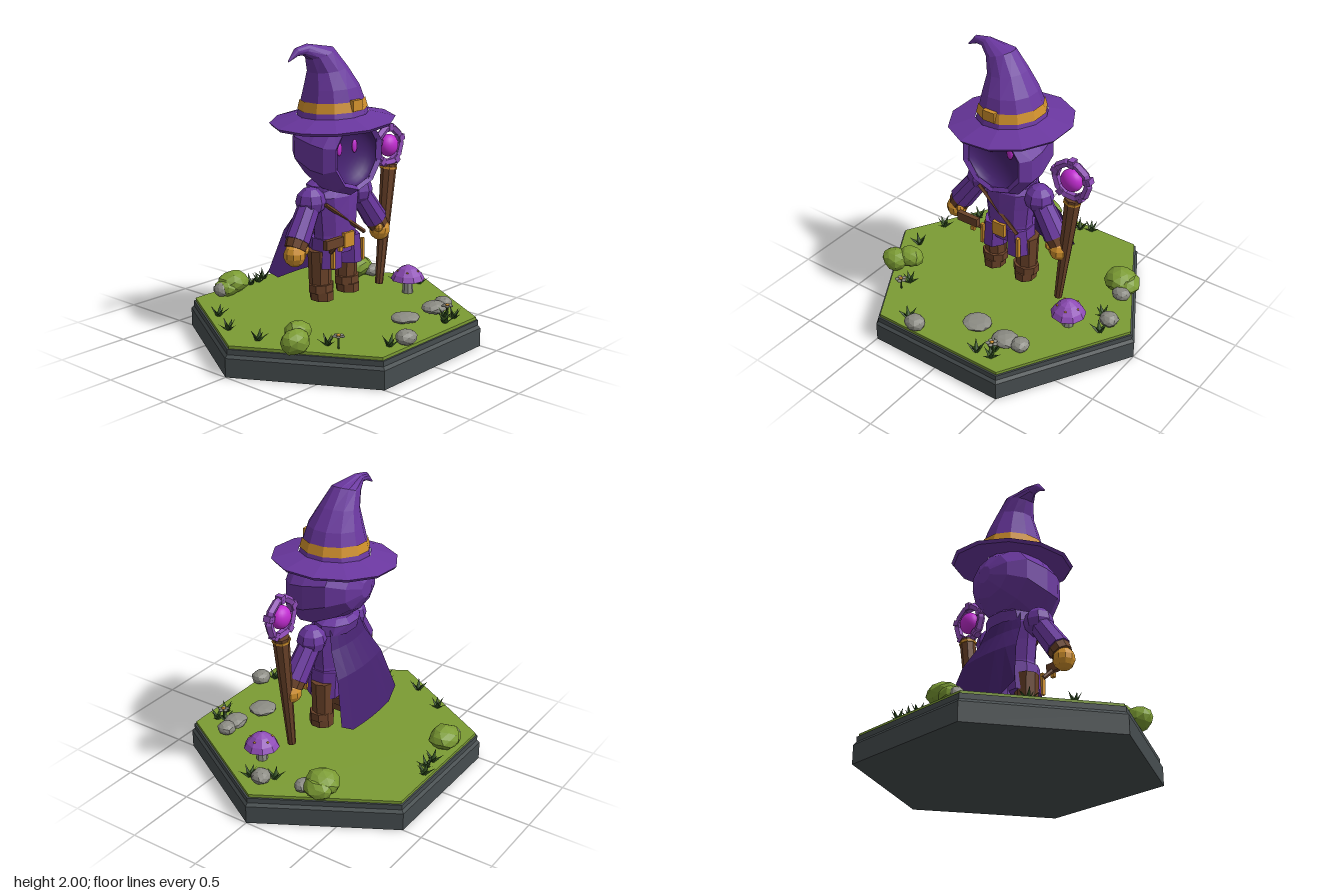
import * as THREE from 'three';

const V = (x, y, z) => new THREE.Vector3(x, y, z);
const mat = (name, color, side = THREE.FrontSide) => {
  const m = new THREE.MeshStandardMaterial({ color, side });
  m.name = name;
  return m;
};

// Faceted copy of a geometry
function flat(g) {
  const f = g.index ? g.toNonIndexed() : g;
  f.computeVertexNormals();
  return f;
}

// Skin over rings {c, u, v}; rings travel along u x v
function loft(rings, n, { phase = 0, start = false, end = false } = {}) {
  const pos = [], idx = [];
  rings.forEach(({ c, u, v }) => {
    for (let i = 0; i < n; i++) {
      const t = ((i + phase) / n) * Math.PI * 2;
      const p = c.clone().addScaledVector(u, Math.cos(t)).addScaledVector(v, Math.sin(t));
      pos.push(p.x, p.y, p.z);
    }
  });
  for (let k = 0; k < rings.length - 1; k++) for (let i = 0; i < n; i++) {
    const a = k * n + i, a1 = k * n + ((i + 1) % n);
    idx.push(a, a1, a1 + n, a, a1 + n, a + n);
  }
  const last = (rings.length - 1) * n;
  for (let i = 1; i < n - 1; i++) {
    if (start) idx.push(0, i + 1, i);
    if (end) idx.push(last, last + i, last + i + 1);
  }
  const g = new THREE.BufferGeometry();
  g.setAttribute('position', new THREE.Float32BufferAttribute(pos, 3));
  g.setIndex(idx);
  return flat(g);
}
// Upright ring: tilt about z
const upRing = (x, y, z, rx, rz = rx, a = 0) =>
  ({ c: V(x, y, z), u: V(Math.cos(a) * rx, Math.sin(a) * rx, 0), v: V(0, 0, -rz) });
// Ring facing the front
const frontRing = (y, z, rx, ry) => ({ c: V(0, y, z), u: V(rx, 0, 0), v: V(0, ry, 0) });

// Tapered round bar from p to q
function rod(p, q, r1, r2, n = 8) {
  const d = q.clone().sub(p);
  const g = new THREE.CylinderGeometry(r2, r1, d.length(), n);
  g.applyQuaternion(new THREE.Quaternion().setFromUnitVectors(V(0, 1, 0), d.clone().normalize()));
  g.translate((p.x + q.x) / 2, (p.y + q.y) / 2, (p.z + q.z) / 2);
  return flat(g);
}

// Lumpy faceted ball, jittered by a hash of each corner's position
function lump(x, y, z, rx, ry, rz, amount) {
  const g = new THREE.IcosahedronGeometry(1, 1), p = g.attributes.position;
  for (let i = 0; i < p.count; i++) {
    const [a, b, c] = [p.getX(i), p.getY(i), p.getZ(i)].map(k => Math.round(k * 100));
    const h = Math.sin(a * 12.99 + b * 78.23 + c * 37.7 + x * 50 + z * 90) * 43.7;
    const s = 1 - amount * (h - Math.floor(h));
    p.setXYZ(i, p.getX(i) * s, p.getY(i) * s, p.getZ(i) * s);
  }
  g.scale(rx, ry, rz);
  g.translate(x, y, z);
  return flat(g);
}

const box = (x, y, z, w, h, d) => new THREE.BoxGeometry(w, h, d).translate(x, y, z);
const ball = (x, y, z, rx, ry, rz, n = 16) => new THREE.SphereGeometry(1, n, n * 0.75).scale(rx, ry, rz).translate(x, y, z);

export function createModel() {
  const root = new THREE.Group();
  const M = {
    robe: mat('robe purple', 0x6a379f), light: mat('light purple', 0x8e4cb6),
    dark: mat('dark purple', 0x462270, THREE.DoubleSide), glow: mat('magenta', 0xc02cd0),
    gold: mat('gold', 0xd0902c), brown: mat('brown', 0x6a4229),
    grass: mat('grass green', 0x7c9c34), leaf: mat('leaf green', 0x304f1f, THREE.DoubleSide),
    stone: mat('stone grey', 0x8c8c84), slate: mat('slate', 0x464d4f),
  };
  const add = (name, geo, m, parent = root) => {
    const mesh = new THREE.Mesh(geo, m);
    mesh.name = name;
    parent.add(mesh);
    return mesh;
  };
  const group = name => {
    const g = new THREE.Group();
    g.name = name;
    root.add(g);
    return g;
  };

  // Hexagonal stand
  const hex = (y, r) => upRing(0, y, 0, r);
  add('standBase', loft([hex(0, 1), hex(0.125, 1), hex(0.145, 0.982), hex(0.18, 0.982)], 6, { start: true, end: true }), M.slate);
  add('turf', loft([hex(0.175, 0.968), hex(0.2, 0.968)], 6, { end: true }), M.grass);

  // Pointed hat
  const hat = group('hat');
  add('brim', loft([upRing(0, 1.5, 0, 0.18, 0.18, 0.07), upRing(0, 1.472, 0, 0.395, 0.4, 0.07),
    upRing(0, 1.492, 0, 0.412, 0.415, 0.07), upRing(0, 1.54, 0, 0.235, 0.24, 0.07)], 12, { phase: 0.5 }), M.robe, hat);
  const crown = [[0, 1.53, 0, 0.235, 0.07], [0, 1.61, 0, 0.213, 0.05], [-0.01, 1.715, 0, 0.182, 0.06], [-0.04, 1.83, -0.01, 0.132, 0.15],
    [-0.1, 1.935, -0.02, 0.103, 0.33], [-0.225, 1.966, -0.03, 0.041, 1.0], [-0.3, 1.955, -0.035, 0.027, 1.8], [-0.37, 1.9, -0.04, 0.004, 2.2]];
  add('crown', loft(crown.map(([x, y, z, r, a]) => upRing(x, y, z, r, r * (r < 0.12 ? 0.9 : 1), a)), 12, { phase: 0.5, end: true }), M.robe, hat);
  add('hatBand', loft([upRing(0, 1.572, 0, 0.23, 0.23, 0.05), upRing(-0.002, 1.635, 0, 0.213, 0.213, 0.05)], 12, { phase: 0.5 }), M.gold, hat);
  add('hatBuckle', box(-0.015, 1.61, 0.215, 0.09, 0.07, 0.03), M.gold, hat);

  // Hood with a hollow dark face
  const head = group('head');
  add('hood', loft([frontRing(1.33, -0.25, 0.06, 0.06), frontRing(1.33, -0.2, 0.18, 0.15), frontRing(1.33, -0.1, 0.27, 0.23),
    frontRing(1.29, 0.06, 0.295, 0.27), frontRing(1.275, 0.16, 0.285, 0.265), frontRing(1.285, 0.23, 0.235, 0.23),
    frontRing(1.285, 0.21, 0.2, 0.205)], 10, { phase: 0.5, start: true }), M.robe, head);
  add('faceHollow', new THREE.SphereGeometry(1, 24, 8, 0, Math.PI * 2, 0, Math.PI / 2).rotateX(-Math.PI / 2)
    .scale(0.205, 0.208, 0.11).translate(0, 1.285, 0.215), M.dark, head);
  for (const s of [-1, 1]) add('eye', ball(s * 0.075, 1.32, 0.125, 0.024, 0.044, 0.012), M.glow, head);

  // Robe
  const body = group('body');
  add('tunic', loft([upRing(0, 0.62, 0.02, 0.18, 0.115), upRing(0, 0.74, 0.02, 0.165, 0.12), upRing(0, 0.88, 0.02, 0.18, 0.125),
    upRing(0, 1.0, 0.02, 0.2, 0.125), upRing(0, 1.07, 0.01, 0.13, 0.1)], 10, { phase: 0.5, start: true, end: true }), M.robe, body);
  add('collar', loft([upRing(0, 1.0, -0.02, 0.19, 0.12), upRing(0, 1.07, -0.02, 0.18, 0.14), upRing(0, 1.1, -0.02, 0.12, 0.1)], 10, { end: true }), M.robe, body);
  add('strap', rod(V(-0.19, 0.97, 0.11), V(0.15, 0.73, 0.15), 0.014, 0.014, 4), M.brown, body);
  add('beltBuckle', box(-0.003, 0.708, 0.14, 0.095, 0.1, 0.03), M.gold, body);
  add('backPouch', box(-0.08, 0.77, -0.12, 0.1, 0.09, 0.05), M.brown, body);

  // Limbs, mirrored
  for (const s of [-1, 1]) {
    add('skirtFlap', loft([upRing(s * 0.1, 0.525, 0.025, 0.088, 0.125), upRing(s * 0.09, 0.72, 0.02, 0.085, 0.125)], 8, { phase: 0.5, start: true, end: true }), M.robe, body);
    add('skirtTrim', box(s * 0.147, 0.61, 0.135, 0.022, 0.15, 0.025), M.gold, body);
    const leg = group(s > 0 ? 'leftLeg' : 'rightLeg');
    add('shin', rod(V(s * 0.13, 0.4, 0.005), V(s * 0.135, 0.64, 0.005), 0.074, 0.08), M.brown, leg);
    add('bootCuff', loft([upRing(s * 0.13, 0.355, 0.015, 0.093, 0.08), upRing(s * 0.13, 0.41, 0.015, 0.093, 0.08)], 8, { phase: 0.5, start: true, end: true }), M.brown, leg);
    add('boot', loft([upRing(s * 0.13, 0.3, 0.02, 0.075, 0.085), upRing(s * 0.13, 0.36, 0.02, 0.08, 0.085)], 8, { phase: 0.5, start: true, end: true }), M.brown, leg);
    const arm = group(s > 0 ? 'leftArm' : 'rightArm');
    add('shoulder', flat(ball(s * 0.235, 0.985, 0.02, 0.1, 0.1, 0.1, 8)), M.robe, arm);
    add('sleeve', rod(V(s * 0.24, 0.97, 0.02), V(s * 0.39, 0.755, 0.045), 0.075, 0.085, 9), M.robe, arm);
    add('cuff', rod(V(s * 0.375, 0.775, 0.045), V(s * 0.415, 0.71, 0.05), 0.08, 0.073, 9), M.brown, arm);
    add('hand', flat(ball(s * 0.425, 0.675, 0.055, 0.073, 0.078, 0.075, 10)), M.gold, arm);
    add('thumb', flat(ball(s * 0.37, 0.705, 0.09, 0.03, 0.035, 0.035, 8)), M.gold, arm);
  }

  // Small tool at the right hip
  add('toolHead', box(-0.215, 0.735, 0.2, 0.165, 0.062, 0.035), M.brown);
  add('toolGrip', rod(V(-0.18, 0.71, 0.19), V(-0.16, 0.65, 0.13), 0.016, 0.016, 6), M.brown);
  add('toolTip', box(-0.165, 0.69, 0.215, 0.03, 0.03, 0.02), M.gold);

  // Cape: a grid of [y, half width, z], sides drawn forward and cut shorter at the hem
  const rows = [[1.06, 0.16, -0.1], [0.92, 0.2, -0.14], [0.76, 0.26, -0.23], [0.4, 0.33, -0.31]];
  const cape = new THREE.PlaneGeometry(2, 1, 6, 3), cp = cape.attributes.position;
  rows.forEach(([y, w, z], r) => {
    for (let i = 0; i < 7; i++) {
      const t = i / 3 - 1, e = Math.abs(t);
      cp.setXYZ(r * 7 + i, t * w, y + (r === 3 && e > 0.9 ? 0.07 : 0), z + 0.03 * e * e);
    }
  });
  add('cape', flat(cape), M.dark);

  // Staff
  const staff = group('staff');
  add('shaft', rod(V(0.425, 0.28, 0.055), V(0.52, 1.12, 0.055), 0.028, 0.056), M.brown, staff);
  add('staffCollar', rod(V(0.514, 1.085, 0.055), V(0.516, 1.1, 0.055), 0.061, 0.061), M.gold, staff);
  add('staffRing', flat(new THREE.TorusGeometry(0.125, 0.028, 5, 10).translate(0.507, 1.25, 0.06)), M.light, staff);
  for (let i = 0; i < 5; i++) {
    const a = i * Math.PI * 0.4 + 0.3;
    add('ringKnot', new THREE.BoxGeometry(0.052, 0.04, 0.052).rotateZ(a)
      .translate(0.507 + 0.126 * Math.cos(a), 1.25 + 0.126 * Math.sin(a), 0.06), M.light, staff);
  }
  add('orb', ball(0.507, 1.25, 0.06, 0.077, 0.077, 0.06, 20), M.glow, staff);

  // Mushroom
  const mushroom = group('mushroom');
  add('stem', rod(V(0.59, 0.19, 0.18), V(0.59, 0.32, 0.18), 0.04, 0.03), M.stone, mushroom);
  add('cap', loft([[0.3, 0.04], [0.298, 0.12], [0.335, 0.1], [0.38, 0.055], [0.4, 0.012]].map(([y, r]) => upRing(0.59, y, 0.18, r)), 9, { start: true, end: true }), M.light, mushroom);
  for (let i = 0; i < 5; i++) add('capSpot', ball(0.59 + 0.075 * Math.cos(i * 1.26), 0.362, 0.18 + 0.075 * Math.sin(i * 1.26), 0.009, 0.005, 0.009, 6), M.gold, mushroom);

  // Bushes: [x, y, z, rx, ry, rz]
  [[-0.75, 0.26, 0.36, 0.11, 0.09, 0.095], [-0.66, 0.28, 0.3, 0.1, 0.08, 0.09], [-0.22, 0.275, -0.74, 0.13, 0.085, 0.11],
    [-0.28, 0.25, -0.74, 0.1, 0.07, 0.09], [0.66, 0.27, -0.36, 0.12, 0.09, 0.125], [0.72, 0.25, -0.36, 0.09, 0.075, 0.11]]
    .forEach(b => add('bush', lump(...b, 0.16), M.grass));

  // Stones: [x, z, rx, height, rz]
  [[0.11, 0.54, 0.11, 0.05, 0.1], [0.37, 0.58, 0.1, 0.075, 0.085], [0.48, 0.57, 0.068, 0.08, 0.066], [0.81, 0.02, 0.07, 0.09, 0.068],
    [-0.21, 0.8, 0.08, 0.09, 0.07], [0.73, -0.26, 0.07, 0.08, 0.06], [-0.33, -0.74, 0.06, 0.09, 0.06]]
    .forEach(([x, z, rx, h, rz]) => add('stone', lump(x, 0.2 + h * 0.5, z, rx, h * 0.6, rz, 0.12), M.stone));

  // Leafy tufts
  const blade = flat(new THREE.ConeGeometry(0.02, 0.09, 4).scale(1, 1, 0.3).translate(0, 0.045, 0));
  [[-0.63, -0.45], [-0.77, -0.21], [-0.78, 0.07], [-0.55, 0.45], [-0.31, 0.75], [0.73, -0.03], [0.8, 0.12], [0.37, 0.74], [0.26, 0.75],
    [-0.02, -0.77], [0.06, -0.77], [0.14, -0.8], [0.35, 0.68]].forEach(([x, z], k) => {
    for (let i = 0; i < 6; i++) {
      const b = add('leaf', blade, M.leaf);
      b.position.set(x, 0.195, z);
      b.rotation.set(i % 2 ? 0.95 : 0.55, i * 1.047 + k, 0, 'YXZ');
    }
  });

  // Flowers
  for (const [x, z] of [[-0.55, 0.54], [0.35, 0.7]]) {
    add('flowerStem', rod(V(x, 0.2, z), V(x, 0.28, z), 0.006, 0.006, 5), M.leaf);
    add('flowerCentre', ball(x, 0.288, z, 0.014, 0.008, 0.014, 8), M.gold);
    for (let i = 0; i < 5; i++) add('petal', ball(x + 0.026 * Math.cos(i * 1.257), 0.282, z + 0.026 * Math.sin(i * 1.257), 0.016, 0.006, 0.016, 8), M.stone);
  }
  return root;
}
